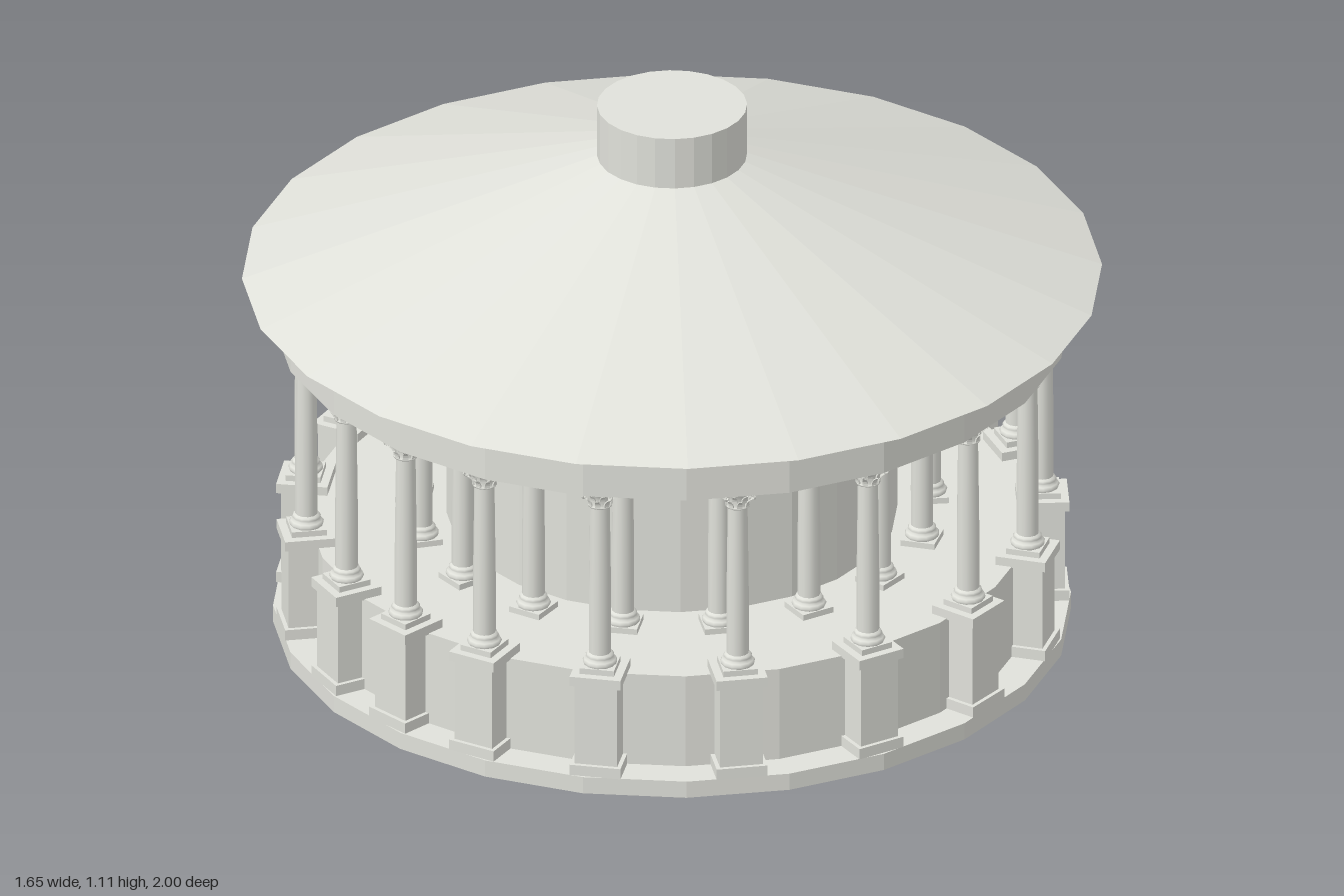
import * as THREE from 'three';

const RAD = Math.PI / 180;
const SIDES = 24;
const START = 9.5 * RAD;

export function createModel() {
  const model = new THREE.Group();
  model.name = 'roundTemple';
  const stone = new THREE.MeshStandardMaterial({ color: 0xe0e1da });
  stone.name = 'paleStone';
  stone.flatShading = true;
  // same colour, smooth normals for the turned column parts
  const turned = new THREE.MeshStandardMaterial({ color: 0xe0e1da });
  turned.name = 'turnedStone';

  const add = (parent, name, geo, mat = stone) => {
    const m = new THREE.Mesh(geo, mat);
    m.name = name;
    parent.add(m);
    return m;
  };

  // everything round shares one axis
  const temple = new THREE.Group();
  temple.name = 'temple';
  temple.position.z = 0.17;
  model.add(temple);

  const drum = (name, rTop, rBottom, y0, y1) => {
    const geo = new THREE.CylinderGeometry(rTop, rBottom, y1 - y0, SIDES, 1, false, START);
    geo.translate(0, (y0 + y1) / 2, 0);
    return add(temple, name, geo);
  };
  drum('plinth', 0.77, 0.77, 0, 0.035);
  drum('podium', 0.705, 0.705, 0.035, 0.23);
  drum('innerChamber', 0.435, 0.435, 0.23, 0.645);
  drum('entablature', 0.77, 0.77, 0.645, 0.745);
  drum('roof', 0.145, 0.83, 0.745, 1.0);
  drum('roofCap', 0.145, 0.145, 1.0, 1.107);

  // shared column geometry, with y = 0 at the foot of the base
  const box = (w, h, d, y) => new THREE.BoxGeometry(w, h, d).translate(0, y + h / 2, 0);
  const lathe = (pts, n) => new THREE.LatheGeometry(pts.map(p => new THREE.Vector2(...p)), n);
  const baseBlock = box(0.068, 0.012, 0.068, 0);
  const baseRings = lathe([[0.032, 0.012], [0.034, 0.017], [0.031, 0.022], [0.026, 0.025],
    [0.028, 0.029], [0.026, 0.033], [0.022, 0.036]], 12);
  const bell = lathe([[0.020, 0], [0.024, 0.002], [0.024, 0.005], [0.020, 0.007],
    [0.021, 0.022], [0.025, 0.034], [0.031, 0.038]], 12);
  const abacus = box(0.062, 0.008, 0.062, 0.037);
  const scroll = new THREE.TorusGeometry(0.005, 0.0025, 5, 8);

  // leaf: a narrow strip that curls outward at the tip
  const leaf = new THREE.BoxGeometry(0.011, 0.018, 0.003, 1, 4, 1).translate(0, 0.009, 0);
  const lp = leaf.attributes.position;
  for (let i = 0; i < lp.count; i++) {
    const t = lp.getY(i) / 0.018;
    lp.setX(i, lp.getX(i) * (1 - 0.5 * t * t));
    lp.setZ(i, lp.getZ(i) + 0.010 * t * t * t);
  }
  leaf.computeVertexNormals();

  const makeColumn = (name, height) => {
    const col = new THREE.Group();
    col.name = name;
    add(col, 'columnFoot', baseBlock);
    add(col, 'columnBase', baseRings, turned);
    const neck = height - 0.045;
    add(col, 'shaft', lathe([[0.022, 0.034], [0.022, height * 0.4], [0.0195, neck]], 12), turned);
    const capital = new THREE.Group();
    capital.name = 'capital';
    capital.position.y = neck;
    col.add(capital);
    add(capital, 'bell', bell, turned);
    add(capital, 'abacus', abacus);
    // two staggered tiers of leaves
    for (let tier = 0; tier < 2; tier++) {
      for (let i = 0; i < 8; i++) {
        const a = (i + tier * 0.5) * Math.PI / 4;
        const l = add(capital, 'leaf', leaf);
        const r = 0.022 + tier * 0.001;
        l.position.set(Math.sin(a) * r, 0.005 + tier * 0.011, Math.cos(a) * r);
        l.rotation.y = a;
      }
    }
    // corner scrolls under the abacus
    for (let i = 0; i < 4; i++) {
      const a = (i + 0.5) * Math.PI / 2;
      const s = add(capital, 'scroll', scroll);
      s.position.set(Math.sin(a) * 0.036, 0.031, Math.cos(a) * 0.036);
      s.rotation.y = a + Math.PI / 2;
    }
    return col;
  };

  // place a part on a ring around the axis, facing outward
  const placeOnRing = (part, degrees, radius, y) => {
    const a = degrees * RAD;
    part.position.set(Math.sin(a) * radius, y, Math.cos(a) * radius);
    part.rotation.y = a;
    temple.add(part);
  };

  // pedestal of the outer ring
  const pedestal = new THREE.Group();
  pedestal.name = 'pedestal';
  add(pedestal, 'pedestalFoot', box(0.1, 0.022, 0.1, 0.035));
  add(pedestal, 'pedestalBlock', box(0.084, 0.175, 0.084, 0.055));
  add(pedestal, 'pedestalCap', box(0.1, 0.02, 0.1, 0.228));

  // outer columns stand a little closer together along the two sides
  const outer = makeColumn('outerColumn', 0.397);
  const outerAngles = [9.3, 30.4, 51, 70.5, 89, 104.5, 121, 139, 161,
    -12.4, -33.8, -53, -68.5, -84, -103, -121.5, -141.5, -164.5];
  for (const degrees of outerAngles) {
    placeOnRing(pedestal.clone(), degrees, 0.715, 0);
    placeOnRing(outer.clone(), degrees, 0.715, 0.248);
  }

  // evenly spaced inner columns, open at the back for the stairs
  const inner = makeColumn('innerColumn', 0.415);
  for (let i = 0; i < 16; i++) {
    placeOnRing(inner.clone(), -1.4 + (i - 7.5) * 21.4, 0.5, 0.23);
  }

  // solid staircase at the back, extruded across its width
  const steps = 8, tread = 0.052, rise = 0.0243;
  const side = new THREE.Shape();
  side.moveTo(-1, 0);
  for (let i = 0; i < steps; i++) {
    const y = 0.035 + i * rise;
    side.lineTo(-1 + i * tread, y);
    side.lineTo(i === steps - 1 ? -0.52 : -1 + (i + 1) * tread, y);
  }
  side.lineTo(-0.52, 0);
  const stairGeo = new THREE.ExtrudeGeometry(side, { depth: 0.35, bevelEnabled: false });
  stairGeo.rotateY(-Math.PI / 2).translate(0.19, 0, 0);
  add(model, 'stairs', stairGeo);

  return model;
}
